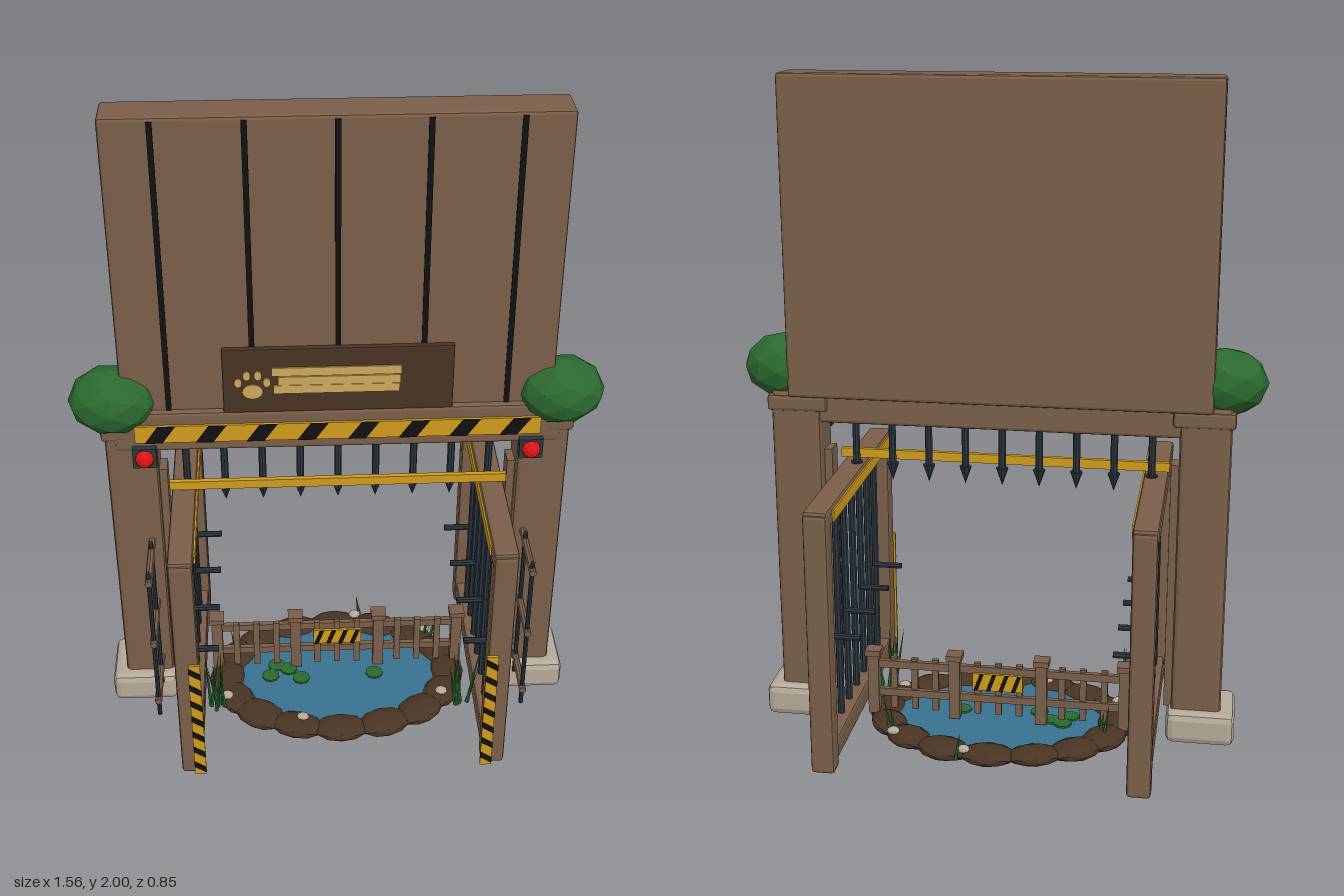
import * as THREE from 'three';
import { RoundedBoxGeometry } from 'three/addons/geometries/RoundedBoxGeometry.js';

const paint = (name, color) => {
  const m = new THREE.MeshStandardMaterial({ color });
  m.name = name;
  return m;
};

export function createModel() {
  const wood = paint('wood', 0x7a5f49);
  const darkWood = paint('dark brown', 0x483423);
  const metal = paint('dark metal', 0x2a363e);
  const black = paint('black', 0x111111);
  const yellow = paint('hazard yellow', 0xd09c1c);
  const tan = paint('tan', 0xcdaa5c);
  const green = paint('green', 0x2b692f);
  const stone = paint('stone', 0xb5aa99);
  const water = paint('water', 0x38728f);
  const red = paint('red', 0xdc1414);

  const root = new THREE.Group();
  let seed = 7;
  const rand = () => (seed = (seed * 16807) % 2147483647) / 2147483647;

  // Faceted mesh at a position
  function add(name, geo, mat, x, y, z, parent = root) {
    const g = geo.index ? geo.toNonIndexed() : geo;
    g.computeVertexNormals();
    const m = new THREE.Mesh(g, mat);
    m.name = name;
    m.position.set(x, y, z);
    parent.add(m);
    return m;
  }
  const box = (name, mat, w, h, d, x, y, z, p) => add(name, new THREE.BoxGeometry(w, h, d), mat, x, y, z, p);
  const beam = (name, mat, w, h, d, x, y, z, p, r = 0.01) =>
    add(name, new RoundedBoxGeometry(w, h, d, 1, r), mat, x, y, z, p);
  const rod = (name, mat, r, len, x, y, z, axis = 'y', p = root) => {
    const g = new THREE.CylinderGeometry(r, r, len, 8);
    if (axis === 'x') g.rotateZ(Math.PI / 2);
    if (axis === 'z') g.rotateX(Math.PI / 2);
    return add(name, g, mat, x, y, z, p);
  };
  const blob = (name, mat, rx, ry, rz, x, y, z, p) =>
    add(name, new THREE.IcosahedronGeometry(1, 1).scale(rx, ry, rz), mat, x, y, z, p);

  // Yellow plate with slanted black bars on its front
  function hazard(name, w, h, n, x, y, z, back = false) {
    const g = new THREE.Group();
    g.name = name;
    g.position.set(x, y, z);
    if (back) g.rotation.y = Math.PI;
    root.add(g);
    box('yellowPlate', yellow, w, h, 0.008, 0, 0, 0, g);
    const tall = h > w, long = Math.max(w, h), wide = Math.min(w, h) / 2;
    const step = long / n, t = step * 0.17, s = Math.min(wide * 0.7, step * 0.25);
    for (let i = 0; i < n; i++) {
      const c = -long / 2 + step * (i + 0.5);
      const pts = [[c - t - s, -wide], [c + t - s, -wide], [c + t + s, wide], [c - t + s, wide]]
        .map(([a, b]) => (tall ? new THREE.Vector2(-b, a) : new THREE.Vector2(a, b)));
      add('blackStripe', new THREE.ExtrudeGeometry(new THREE.Shape(pts), { depth: 0.003, bevelEnabled: false }),
        black, 0, 0, 0.004, g);
    }
  }

  // Tall plank board with grooves
  beam('backBoard', wood, 1.25, 0.94, 0.125, 0, 1.53, -0.018);
  for (let i = -2; i <= 2; i++) box('boardGroove', black, 0.016, 0.88, 0.004, i * 0.244, 1.55, 0.046);

  // Crossbeam with hazard strip
  beam('crossbeam', wood, 1.3, 0.13, 0.125, 0, 1.045, 0.003);
  hazard('beamHazardStrip', 1.18, 0.056, 8, 0, 1.043, 0.07);

  // Sign with paw mark and plain bars
  beam('signBoard', darkWood, 0.66, 0.21, 0.02, 0, 1.21, 0.054, root, 0.005);
  [[0.37, 1.242], [0.35, 1.212], [0.36, 1.184]].forEach(([w, y], i) =>
    box('signBar', tan, w, 0.027, 0.006, -0.005 + 0.008 * (i % 2), y, 0.066));
  const disc = (rx, ry, x, y) => add('pawMark',
    new THREE.CylinderGeometry(1, 1, 0.006, 12).rotateX(Math.PI / 2).scale(rx, ry, 1), tan, x, y, 0.066);
  disc(0.03, 0.024, -0.245, 1.178);
  [[-0.041, 1.208], [-0.016, 1.231], [0.016, 1.231], [0.041, 1.208]].forEach(([x, y]) => disc(0.011, 0.015, x - 0.245, y));

  // Portcullis
  box('portcullisBar', yellow, 1.0, 0.028, 0.015, 0, 0.855, 0.06);
  for (let i = -4; i <= 4; i++) {
    rod('portcullisRod', metal, 0.011, 0.17, i * 0.112, 0.91, 0.035);
    add('spikeTip', new THREE.ConeGeometry(0.019, 0.055, 8).rotateX(Math.PI), metal, i * 0.112, 0.808, 0.035);
  }

  for (const s of [-1, 1]) {
    // Gate post on a stone foot, with a bush on top
    beam('gatePost', wood, 0.15, 1.0, 0.13, s * 0.605, 0.58, -0.004, root, 0.015);
    beam('postCap', wood, 0.18, 0.05, 0.14, s * 0.6, 1.04, -0.004);
    box('postJamb', wood, 0.03, 0.77, 0.06, s * 0.522, 0.505, 0);
    beam('stoneFoot', stone, 0.205, 0.1, 0.205, s * 0.62, 0.08, -0.003, root, 0.022);
    blob('bush', green, 0.128, 0.1, 0.109, s * 0.65, 1.135, 0.02);

    // Warning lamp
    box('lampHousing', metal, 0.07, 0.065, 0.03, s * 0.565, 0.968, 0.07);
    blob('warningLamp', red, 0.028, 0.028, 0.028, s * 0.565, 0.968, 0.085);

    // Small ladder in front of the post
    for (const z of [0.11, 0.255]) rod('ladderRail', metal, 0.007, 0.56, s * 0.565, 0.4, z);
    for (const y of [0.185, 0.415, 0.65]) rod('ladderRung', wood, 0.011, 0.225, s * 0.565, y, 0.16, 'z');

    // Open gate leaf
    const gx = s * 0.46;
    for (const z of [0.38, -0.39]) beam('gateStile', wood, 0.07, 0.8, 0.064, gx, 0.42, z);
    beam('gateTopRail', wood, 0.072, 0.06, 0.82, gx, 0.8, -0.005);
    beam('gateBottomRail', wood, 0.06, 0.07, 0.74, gx, 0.068, -0.005);
    for (let i = -3; i <= 3; i++) rod('gateBar', metal, 0.011, 0.7, gx, 0.44, i * 0.096);
    for (const z of [-0.29, -0.1, 0.085, 0.275]) rod('gatePeg', metal, 0.01, 0.09, s * 0.415, 0.4, z, 'x');
    box('gateYellowStrip', yellow, 0.008, 0.036, 0.7, s * 0.423, 0.8, -0.005);
    hazard('gateHazardStrip', 0.035, 0.44, 7, s * 0.438, 0.24, 0.416);
  }

  // Pond: bed, water, rock rim
  add('pondBed', new THREE.CylinderGeometry(1, 0.95, 0.02, 32).scale(0.36, 1, 0.25), darkWood, 0, 0.015, 0);
  add('pondWater', new THREE.CylinderGeometry(1, 1, 0.01, 32).scale(0.35, 1, 0.24), water, 0, 0.031, 0);
  for (let i = 0; i < 16; i++) {
    const a = (i / 16) * Math.PI * 2;
    const x = Math.cos(a) * 0.36, z = Math.sin(a) * 0.25;
    const rock = blob('rimRock', darkWood, 0.08 + rand() * 0.012, 0.025 + rand() * 0.004, 0.053 + rand() * 0.008, x, 0.029, z);
    rock.rotation.y = Math.atan2(-Math.cos(a) * 0.25, -Math.sin(a) * 0.36);
  }
  // Lily pads
  [[-0.22, 0.01], [-0.16, -0.02], [-0.12, 0.025], [-0.2, -0.04], [0.12, 0.01]].forEach(([x, z]) =>
    add('lilyPad', new THREE.CylinderGeometry(0.028, 0.028, 0.006, 9), green, x, 0.039, z));
  // Pale pebbles on the rim
  [[0.07, -0.27], [0.3, -0.19], [-0.36, 0.11], [-0.12, 0.22], [0.33, 0.12]].forEach(([x, z]) =>
    blob('pebble', stone, 0.02, 0.012, 0.018, x, 0.053, z));

  // Reeds
  function reeds(x, z, n, height, spread) {
    for (let i = 0; i < n; i++) {
      const h = height * (0.65 + rand() * 0.35);
      const r = add('reed', new THREE.ConeGeometry(0.007, h, 5).translate(0, h / 2, 0), green,
        x + (rand() - 0.5) * spread, 0.03, z + (rand() - 0.5) * spread);
      r.rotation.set((rand() - 0.5) * 0.35, 0, (rand() - 0.5) * 0.35);
    }
  }
  reeds(-0.39, 0.14, 8, 0.23, 0.05);
  reeds(0.39, 0.14, 8, 0.23, 0.05);
  reeds(0.31, -0.16, 2, 0.13, 0.04);
  reeds(0.08, -0.29, 1, 0.13, 0.02);
  reeds(-0.33, -0.1, 2, 0.13, 0.03);

  // Low fence across the pond
  const fz = -0.045;
  for (const x of [-0.39, -0.135, 0.135, 0.39]) {
    box('fencePost', wood, 0.034, 0.2, 0.034, x, 0.14, fz);
    box('fencePostCap', wood, 0.048, 0.018, 0.048, x, 0.244, fz);
  }
  for (const y of [0.11, 0.205]) box('fenceRail', wood, 0.78, 0.024, 0.016, 0, y, fz);
  for (const c of [-0.2625, 0, 0.2625])
    for (const d of [-0.065, 0, 0.065]) box('fencePicket', wood, 0.02, 0.17, 0.014, c + d, 0.14, fz + 0.006);
  hazard('fenceHazardPlate', 0.155, 0.055, 4, 0, 0.17, fz + 0.018);
  hazard('fenceHazardPlateBack', 0.155, 0.055, 4, 0, 0.17, fz - 0.013, true);

  return root;
}
